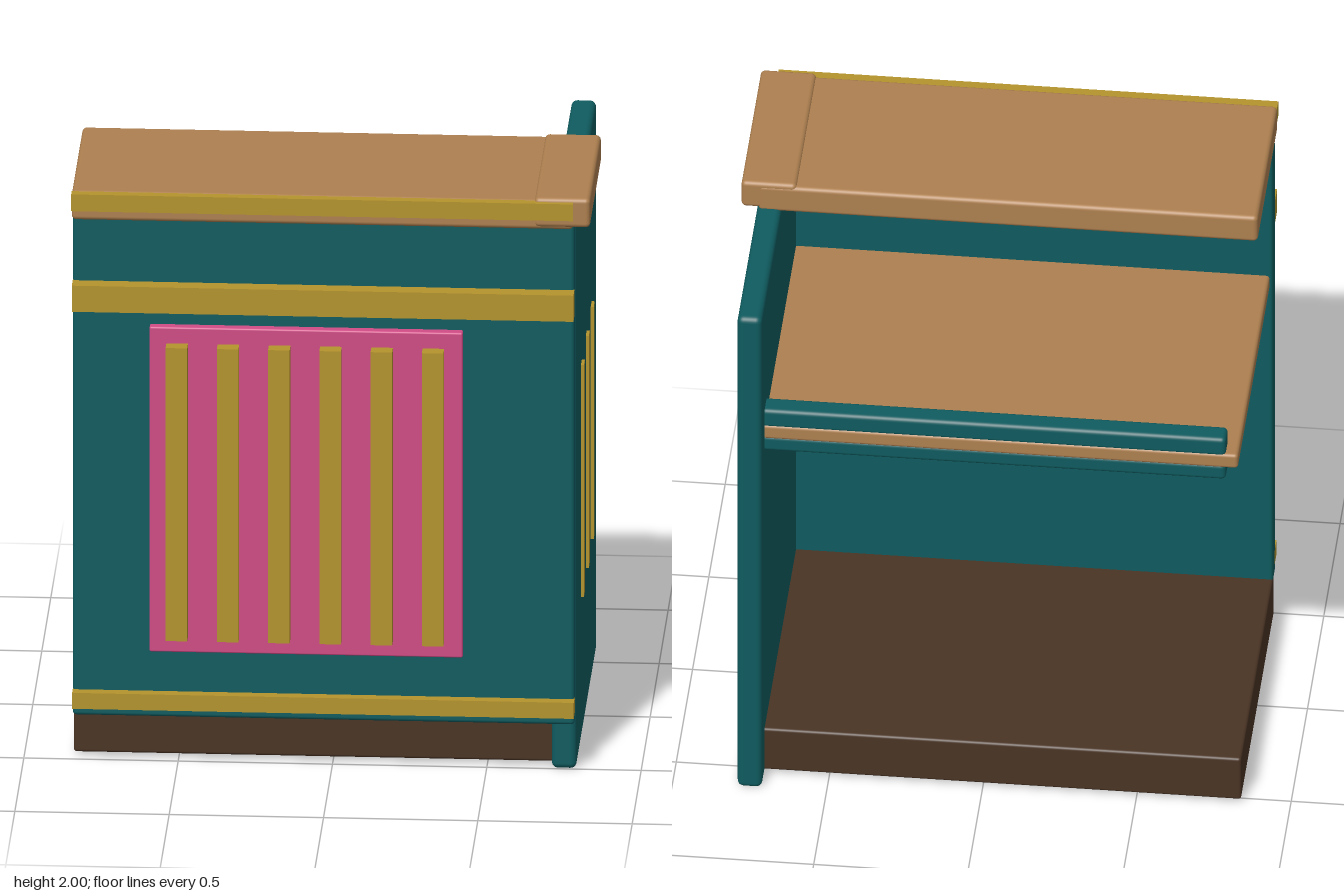
import * as THREE from 'three';
import { RoundedBoxGeometry } from 'three/addons/geometries/RoundedBoxGeometry.js';

const material = (name, color) => {
  const m = new THREE.MeshStandardMaterial({ color });
  m.name = name;
  return m;
};

export function createModel() {
  const teal = material('teal paint', 0x0f5c60);
  const wood = material('light wood', 0xae8050);
  const darkWood = material('dark wood', 0x4a3424);
  const gold = material('gold trim', 0xb5942e);
  const pink = material('pink panel', 0xd04c86);

  const desk = new THREE.Group();
  desk.name = 'receptionDesk';

  // Box given by its extents on each axis, with optional rounded edges
  const box = (name, mat, [x0, x1], [y0, y1], [z0, z1], radius = 0) => {
    const size = [x1 - x0, y1 - y0, z1 - z0];
    const geometry = radius
      ? new RoundedBoxGeometry(...size, 3, radius)
      : new THREE.BoxGeometry(...size);
    const mesh = new THREE.Mesh(geometry, mat);
    mesh.name = name;
    mesh.position.set((x0 + x1) / 2, (y0 + y1) / 2, (z0 + z1) / 2);
    desk.add(mesh);
  };

  // Carcass: plinth, front wall and one side wall
  box('plinth', darkWood, [-0.84, 0.72], [0.015, 0.18], [-0.53, 0.475], 0.01);
  box('frontPanel', teal, [-0.84, 0.785], [0.16, 1.9], [0.44, 0.525], 0.012);
  box('sidePanel', teal, [0.71, 0.79], [0, 1.9], [-0.615, 0.505], 0.02);

  // Work shelf with a rail above and below its back edge
  box('workShelf', wood, [-0.83, 0.72], [1.355, 1.41], [-0.532, 0.45], 0.012);
  box('upperRail', teal, [-0.79, 0.72], [1.4, 1.47], [-0.53, -0.455], 0.015);
  box('lowerRail', teal, [-0.79, 0.72], [1.305, 1.365], [-0.53, -0.455], 0.015);

  // Raised counter with its end cap and gold edge
  box('counterTop', wood, [-0.84, 0.785], [1.89, 1.99], [-0.02, 0.59], 0.015);
  box('counterEndCap', wood, [0.66, 0.84], [1.9, 2.0], [-0.018, 0.597], 0.015);
  box('counterTrim', gold, [-0.84, 0.785], [1.93, 1.988], [0.58, 0.613]);

  // Horizontal bands on the front
  box('upperBand', gold, [-0.84, 0.785], [1.57, 1.66], [0.505, 0.577]);
  box('lowerBand', gold, [-0.84, 0.785], [0.195, 0.25], [0.5, 0.56]);

  // Decorative front panel with six upright slats
  box('decorPanel', pink, [-0.59, 0.425], [0.395, 1.515], [0.515, 0.555], 0.006);
  for (let i = 0; i < 6; i++) {
    const x = -0.5 + i * 0.166;
    box(`frontSlat${i + 1}`, gold, [x - 0.035, x + 0.035], [0.45, 1.46], [0.545, 0.6]);
  }

  // Three thin inlays on the outside of the side wall
  for (let i = 0; i < 3; i++) {
    const z = 0.22 - i * 0.272;
    box(`sideInlay${i + 1}`, gold, [0.78, 0.8], [0.5, 1.3], [z - 0.026, z + 0.026]);
  }

  return desk;
}
